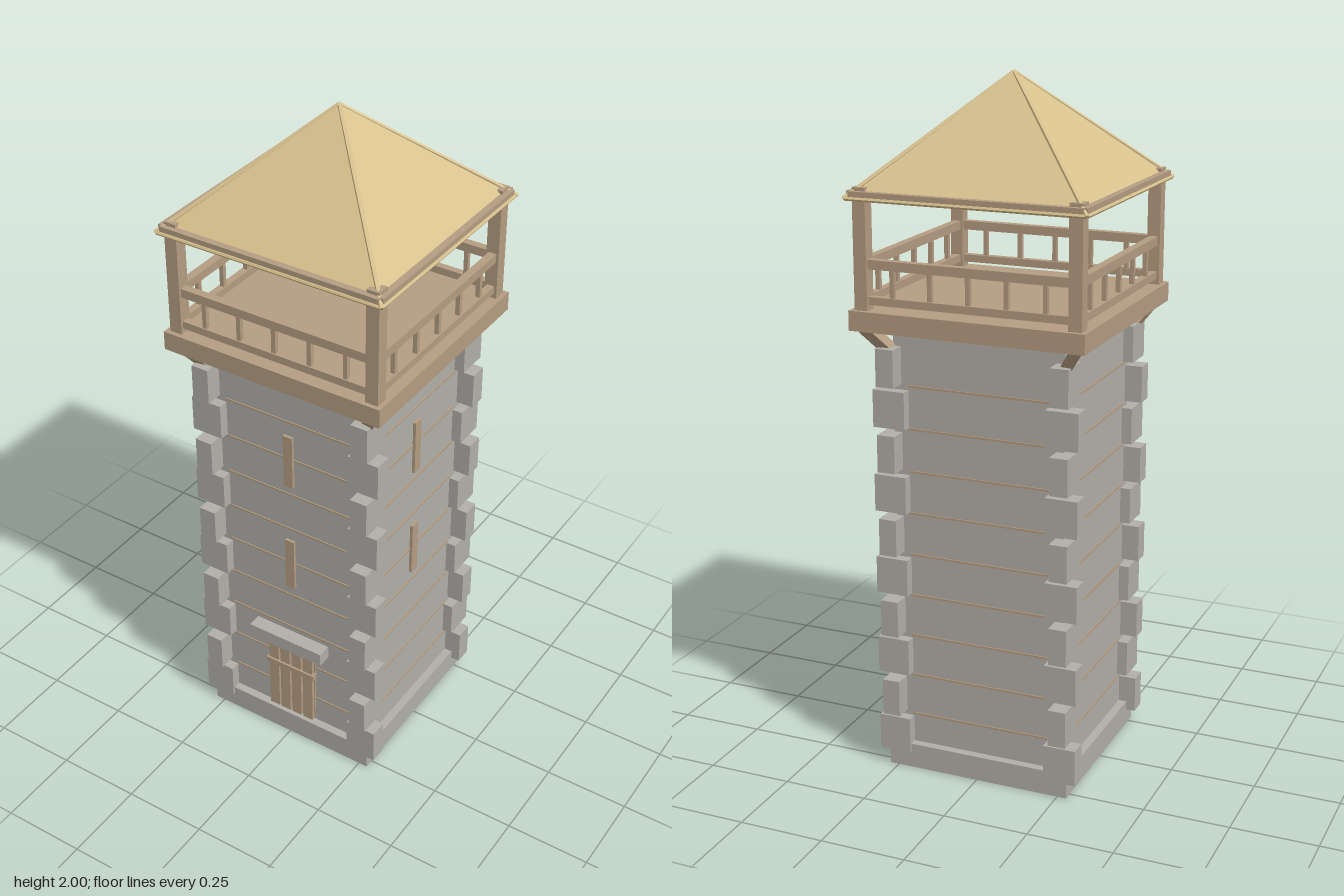
import * as THREE from 'three';

const mat = (color) => new THREE.MeshStandardMaterial({ color, flatShading: true });

export function createModel() {
  const tower = new THREE.Group();
  tower.name = 'watchtower';
  const stone = mat(0xb2afa9), wood = mat(0xb59d82), thatch = mat(0xd8c18e);

  const group = (name, parent = tower) => {
    const g = new THREE.Group();
    g.name = name;
    parent.add(g);
    return g;
  };
  // Box given by size and centre
  const box = (parent, name, material, size, pos) => {
    const m = new THREE.Mesh(new THREE.BoxGeometry(...size), material);
    m.name = name;
    m.position.set(...pos);
    parent.add(m);
    return m;
  };
  // Beam of n sides running from a to b
  const beam = (parent, name, material, a, b, r, n) => {
    const p = new THREE.Vector3(...a), q = new THREE.Vector3(...b);
    const d = q.clone().sub(p);
    const m = new THREE.Mesh(new THREE.CylinderGeometry(r, r, d.length(), n), material);
    m.name = name;
    m.position.copy(p).add(q).multiplyScalar(0.5);
    m.quaternion.setFromUnitVectors(new THREE.Vector3(0, 1, 0), d.normalize());
    parent.add(m);
    return m;
  };
  const corners = [[1, 1], [1, -1], [-1, -1], [-1, 1]];

  // Stone shaft and plinth
  box(tower, 'plinth', stone, [0.555, 0.074, 0.555], [0, 0.037, 0]);
  box(tower, 'shaft', stone, [0.506, 1.25, 0.506], [0, 0.695, 0]);

  // Alternating corner stones, ten courses
  const quoins = group('cornerStones');
  for (let i = 0; i < 10; i++) {
    const long = 0.096, short = 0.053;
    const [w, d] = i % 2 ? [short, long] : [long, short];
    for (const [sx, sz] of corners)
      box(quoins, 'cornerStone', stone, [w, 0.108, d], [sx * 0.257, 0.101 + i * 0.1235, sz * 0.257]);
  }

  // Thin joints between the wall courses
  const joints = group('courseJoints');
  for (let i = 0; i < 9; i++) {
    const y = 0.163 + i * 0.124;
    box(joints, 'jointFrontBack', wood, [0.42, 0.006, 0.512], [0, y, 0]);
    box(joints, 'jointSides', wood, [0.512, 0.006, 0.42], [0, y, 0]);
  }

  // Arrow slits on the front and left faces
  const slits = group('arrowSlits');
  for (const y of [0.657, 1.023]) {
    box(slits, 'slitFront', wood, [0.03, 0.172, 0.02], [0, y, 0.252]);
    box(slits, 'slitLeft', wood, [0.02, 0.172, 0.03], [0.252, y, 0]);
  }

  // Plank door with cross bars and stone lintel
  const door = group('door');
  box(door, 'doorBack', wood, [0.16, 0.265, 0.012], [0, 0.212, 0.252]);
  for (let i = 0; i < 4; i++)
    box(door, 'plank', wood, [0.034, 0.265, 0.022], [-0.06 + i * 0.04, 0.212, 0.258]);
  for (const y of [0.258, 0.335])
    box(door, 'crossBar', wood, [0.168, 0.018, 0.02], [0, y, 0.265]);
  box(door, 'lintel', stone, [0.25, 0.042, 0.06], [0, 0.371, 0.266]);

  // Platform with diagonal braces and corner posts
  box(tower, 'platform', wood, [0.684, 0.056, 0.684], [0, 1.348, 0]);
  const frame = group('frame');
  for (const [sx, sz] of corners) {
    const brace = beam(frame, 'brace', wood, [sx * 0.245, 1.235, sz * 0.245], [sx * 0.312, 1.33, sz * 0.312], 0.022, 4);
    brace.rotateY(Math.PI / 4);
    box(frame, 'post', wood, [0.038, 0.335, 0.038], [sx * 0.31, 1.543, sz * 0.31]);
  }

  // Railing and eaves, one set for each of the four sides
  for (let s = 0; s < 4; s++) {
    const side = group('railing');
    side.rotation.y = s * Math.PI / 2;
    box(side, 'topRail', wood, [0.6, 0.026, 0.024], [0, 1.503, 0.31]);
    box(side, 'bottomRail', wood, [0.6, 0.022, 0.022], [0, 1.403, 0.31]);
    for (let i = -2; i <= 2; i++)
      box(side, 'baluster', wood, [0.013, 0.08, 0.013], [i * 0.111, 1.453, 0.31]);
    const eave = group('eave');
    eave.rotation.y = s * Math.PI / 2;
    box(eave, 'eaveBeam', wood, [0.668, 0.018, 0.02], [0, 1.692, 0.333]);
    beam(eave, 'eavePole', thatch, [-0.343, 1.681, 0.343], [0.343, 1.681, 0.343], 0.006, 6);
  }

  // Pyramid roof with hip poles
  const cone = new THREE.ConeGeometry(0.343 * Math.SQRT2, 0.317, 4, 1, true);
  cone.rotateY(Math.PI / 4);
  const roof = new THREE.Mesh(cone, thatch);
  roof.name = 'roof';
  roof.position.y = 1.6815 + 0.317 / 2;
  tower.add(roof);
  box(tower, 'ceiling', wood, [0.67, 0.004, 0.67], [0, 1.682, 0]);
  const hips = group('hipPoles');
  for (const [sx, sz] of corners)
    beam(hips, 'hipPole', thatch, [sx * 0.346, 1.681, sz * 0.346], [0, 1.995, 0], 0.006, 6);

  return tower;
}
